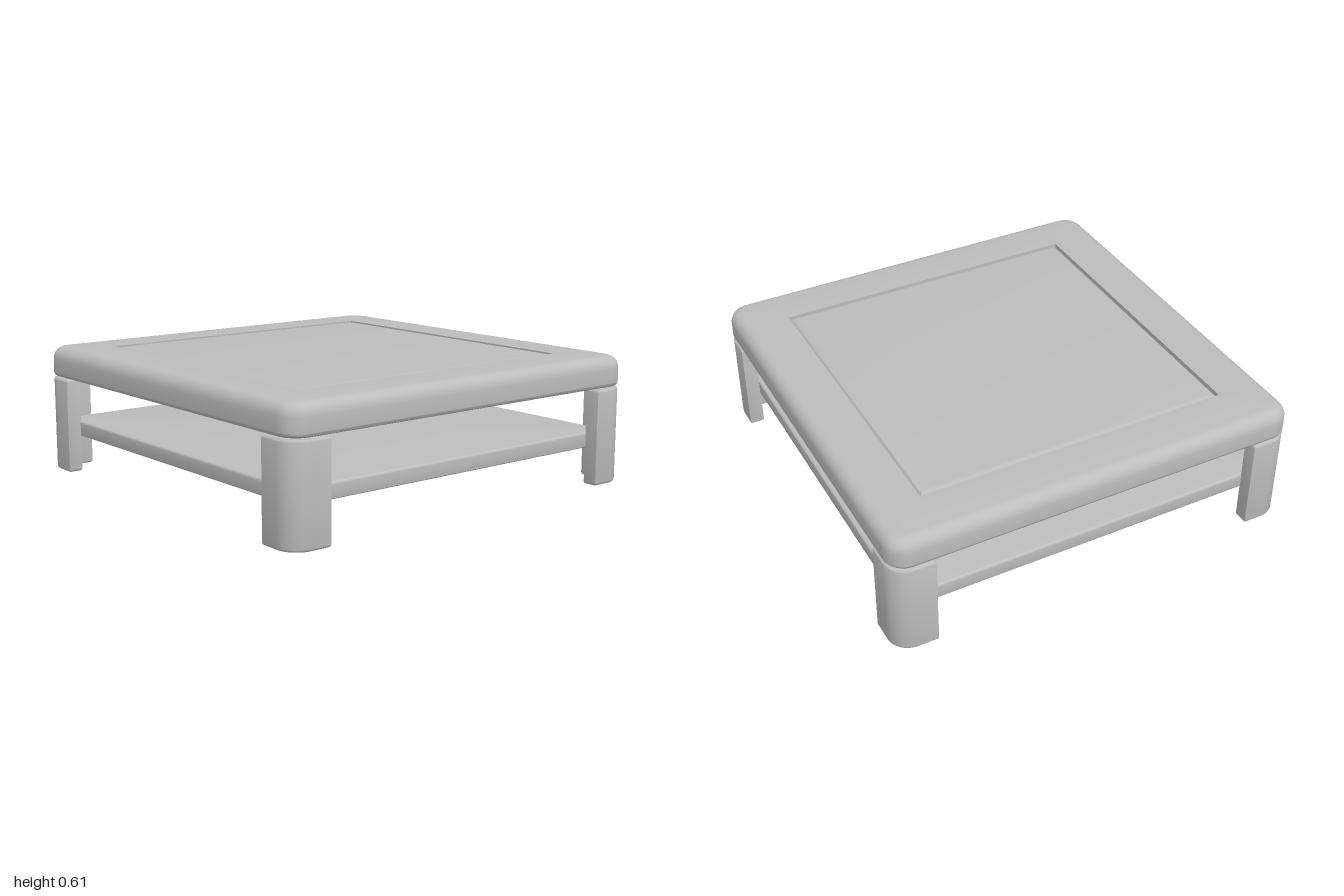
import * as THREE from 'three';
import { toCreasedNormals } from 'three/addons/utils/BufferGeometryUtils.js';

// Points of a rounded square of half-width h and corner radius r at height y
function ring(h, r, y, steps = 8) {
  const pts = [];
  for (let q = 0; q < 4; q++) {
    const mid = (q + 0.5) * Math.PI / 2;
    const cx = Math.sign(Math.cos(mid)) * (h - r);
    const cy = Math.sign(Math.sin(mid)) * (h - r);
    for (let i = 0; i <= steps; i++) {
      const a = (q + i / steps) * Math.PI / 2;
      pts.push([cx + r * Math.cos(a), y, -(cy + r * Math.sin(a))]);
    }
  }
  return pts;
}

// Skin a stack of rings given as [halfWidth, cornerRadius, y]
function loft(profile) {
  const rings = profile.map(([h, r, y]) => ring(h, r, y));
  const pos = [];
  for (let k = 0; k < rings.length - 1; k++) {
    const lo = rings[k], hi = rings[k + 1], n = lo.length;
    for (let j = 0; j < n; j++) {
      const m = (j + 1) % n;
      pos.push(...lo[j], ...lo[m], ...hi[m], ...lo[j], ...hi[m], ...hi[j]);
    }
  }
  const geo = new THREE.BufferGeometry();
  geo.setAttribute('position', new THREE.Float32BufferAttribute(pos, 3));
  return toCreasedNormals(geo, 0.6);
}

// Rounded edge from bottom to top: bottom radius b, top radius t
function edge(h, r, y0, y1, b, t, steps = 6) {
  const out = [];
  const add = (rad, yc, from) => {
    for (let i = 0; i <= steps; i++) {
      const a = from + (i / steps) * Math.PI / 2;
      const inset = rad * (1 - Math.cos(a));
      out.push([h - inset, Math.max(r - inset, 0), yc + rad * Math.sin(a)]);
    }
  };
  add(b, y0 + b, -Math.PI / 2);
  add(t, y1 - t, 0);
  return out;
}

// L-section leg with a rounded outer corner, sitting at +x +z
function legGeometry() {
  const bevel = 0.012, out = 1 - bevel, end = 0.8 + bevel, inn = 0.93 + bevel;
  const R = 0.09, r = 0.05;
  const s = new THREE.Shape();
  s.moveTo(end, -out);
  s.lineTo(out - R, -out);
  s.absarc(out - R, -out + R, R, -Math.PI / 2, 0, false);
  s.lineTo(out, -end);
  s.lineTo(inn, -end);
  s.lineTo(inn, -inn + r);
  s.absarc(inn - r, -inn + r, r, 0, -Math.PI / 2, true);
  s.lineTo(end, -inn);
  s.closePath();
  const geo = new THREE.ExtrudeGeometry(s, {
    depth: 0.46 - 2 * bevel, bevelEnabled: true, bevelThickness: bevel,
    bevelSize: bevel, bevelSegments: 3, curveSegments: 8,
  });
  geo.rotateX(-Math.PI / 2);
  geo.translate(0, bevel, 0);
  return toCreasedNormals(geo, 0.6);
}

export function createModel() {
  const group = new THREE.Group();
  const grey = new THREE.MeshStandardMaterial({ color: 0xbcbcbc });
  grey.name = 'plain grey';
  const add = (name, geo) => {
    const mesh = new THREE.Mesh(geo, grey);
    mesh.name = name;
    group.add(mesh);
    return mesh;
  };

  // Table top border with a square opening
  add('topFrame', loft([
    [0.755, 0, 0.465],
    ...edge(1, 0.1, 0.465, 0.61, 0.02, 0.06),
    [0.755, 0, 0.61],
    [0.755, 0, 0.465],
  ]));

  // Softly edged panel set in the opening, thinner than the border
  add('topPanel', loft([
    [0, 0, 0.53],
    ...edge(0.752, 0, 0.53, 0.608, 0.005, 0.028),
    [0, 0, 0.608],
  ]));

  // Lower shelf held between the legs
  add('shelf', loft([
    [0, 0, 0.175],
    ...edge(0.932, 0.08, 0.175, 0.25, 0.008, 0.012),
    [0, 0, 0.25],
  ]));

  // Four legs, one per corner
  const leg = legGeometry();
  for (let i = 0; i < 4; i++) add('leg' + (i + 1), leg).rotation.y = i * Math.PI / 2;

  return group;
}
